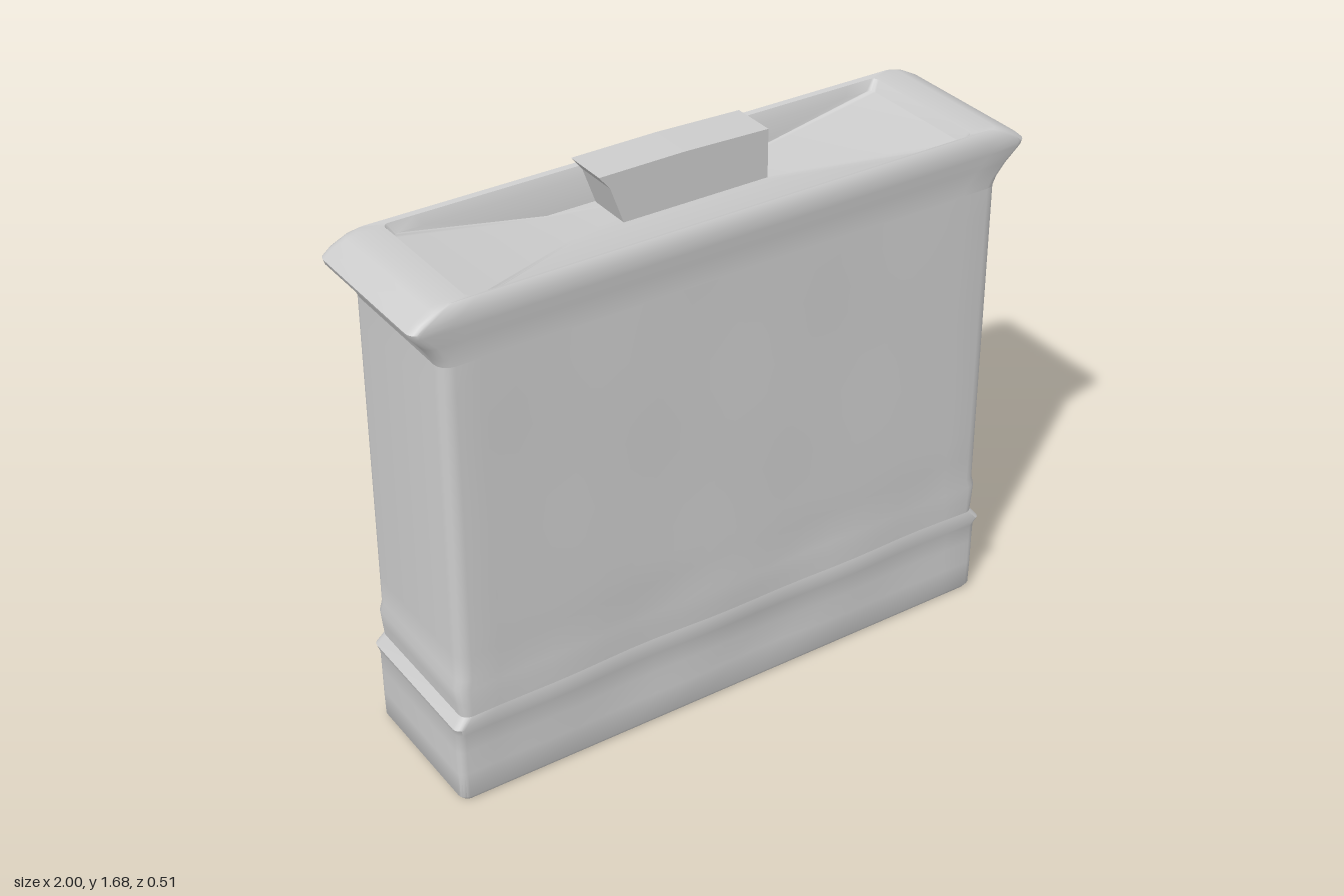
import * as THREE from 'three';
import { toCreasedNormals } from 'three/addons/utils/BufferGeometryUtils.js';

// Rounded rectangle in x and z, with extra points along the long sides
function ring(hx, hz, r) {
  const pts = [];
  const corner = (sx, sz, start) => {
    for (let i = 0; i <= 4; i++) {
      const a = start + (i / 4) * Math.PI / 2;
      pts.push([sx * (hx - r) + r * Math.cos(a), sz * (hz - r) + r * Math.sin(a)]);
    }
  };
  const side = (dir) => {
    for (let i = 1; i < 20; i++) pts.push([dir * (hx - r) * (1 - i / 10), dir * hz]);
  };
  corner(1, 1, 0);
  side(1);
  corner(-1, 1, Math.PI / 2);
  corner(-1, -1, Math.PI);
  side(-1);
  corner(1, -1, Math.PI * 1.5);
  return pts;
}

// Skin through rings given as [y, halfWidth, halfDepth, cornerRadius, zShift]
function loft(levels, dent) {
  const pos = [], index = [];
  let n = 0;
  for (const [y, hx, hz, r, shift = 0] of levels) {
    const pts = ring(hx, hz, r);
    n = pts.length;
    for (const [x, z] of pts) pos.push(x, y, z + shift + Math.sign(z) * dent(x, y, hx));
  }
  for (let i = 0; i < levels.length - 1; i++) {
    for (let j = 0; j < n; j++) {
      const a = i * n + j, b = i * n + (j + 1) % n;
      index.push(a, a + n, b, b, a + n, b + n);
    }
  }
  const g = new THREE.BufferGeometry();
  g.setAttribute('position', new THREE.Float32BufferAttribute(pos, 3));
  g.setIndex(index);
  return toCreasedNormals(g, 0.75);
}

// Shallow unevenness of the long walls, fading out at the corners and the rim
function dent(x, y, hx) {
  if (y < 0.03 || y > 1.5) return 0;
  const fade = Math.max(0, 1 - (x / hx) ** 4);
  const size = y < 0.45 ? 0.006 : 0.002;
  return -size * fade * (1 + Math.sin(x * 9 + y * 4) * Math.cos(y * 7 - x * 3));
}

export function createModel() {
  const model = new THREE.Group();
  const grey = new THREE.MeshStandardMaterial({ color: 0xcccccc });
  grey.name = 'pale grey';

  const add = (name, geometry) => {
    const mesh = new THREE.Mesh(geometry, grey);
    mesh.name = name;
    model.add(mesh);
    return mesh;
  };

  // Closed bottom and base band with a raised upper edge
  add('base', loft([
    [0, 0.01, 0.002, 0.001],
    [0, 0.92, 0.232, 0.02],
    [0.015, 0.933, 0.241, 0.025],
    [0.1, 0.934, 0.242, 0.025],
    [0.18, 0.934, 0.242, 0.025],
    [0.245, 0.934, 0.243, 0.025],
    [0.272, 0.942, 0.252, 0.025],
    [0.305, 0.916, 0.246, 0.03],
  ], dent));

  // Tall walls
  const wall = [
    [0.305, 0.916, 0.246, 0.03],
    [0.35, 0.922, 0.247, 0.035],
    [0.4, 0.928, 0.247, 0.04],
    [0.43, 0.92, 0.245, 0.04],
  ];
  for (let i = 1; i <= 12; i++) wall.push([0.43 + i * 0.085, 0.92 - i * 0.0005, 0.245, 0.04]);
  add('walls', loft(wall, dent));

  // Flared rim
  add('rim', loft([
    [1.45, 0.914, 0.245, 0.04],
    [1.475, 0.925, 0.245, 0.04],
    [1.52, 0.955, 0.249, 0.035],
    [1.565, 0.993, 0.256, 0.03],
    [1.58, 0.998, 0.257, 0.03],
    [1.6, 0.975, 0.256, 0.03],
    [1.625, 0.93, 0.25, 0.03],
    [1.635, 0.9, 0.242, 0.03],
    [1.63, 0.82, 0.228, 0.02],
  ], () => 0));

  // Sunken top sloping down around the grip
  add('sunkenTop', loft([
    [1.63, 0.82, 0.228, 0.02],
    [1.6, 0.8, 0.215, 0.02],
    [1.52, 0.34, 0.08, 0.01, -0.125],
    [1.52, 0.01, 0.002, 0.001, -0.125],
  ], () => 0));

  // Raised grip, slanted at its left end
  const outline = new THREE.Shape();
  outline.moveTo(-0.17, 1.51);
  outline.lineTo(0.31, 1.51);
  outline.lineTo(0.31, 1.672);
  outline.lineTo(0.03, 1.68);
  outline.lineTo(-0.25, 1.678);
  outline.lineTo(-0.215, 1.635);
  const grip = add('grip', new THREE.ExtrudeGeometry(outline, { depth: 0.145, bevelEnabled: false }));
  grip.position.z = -0.2;

  return model;
}
